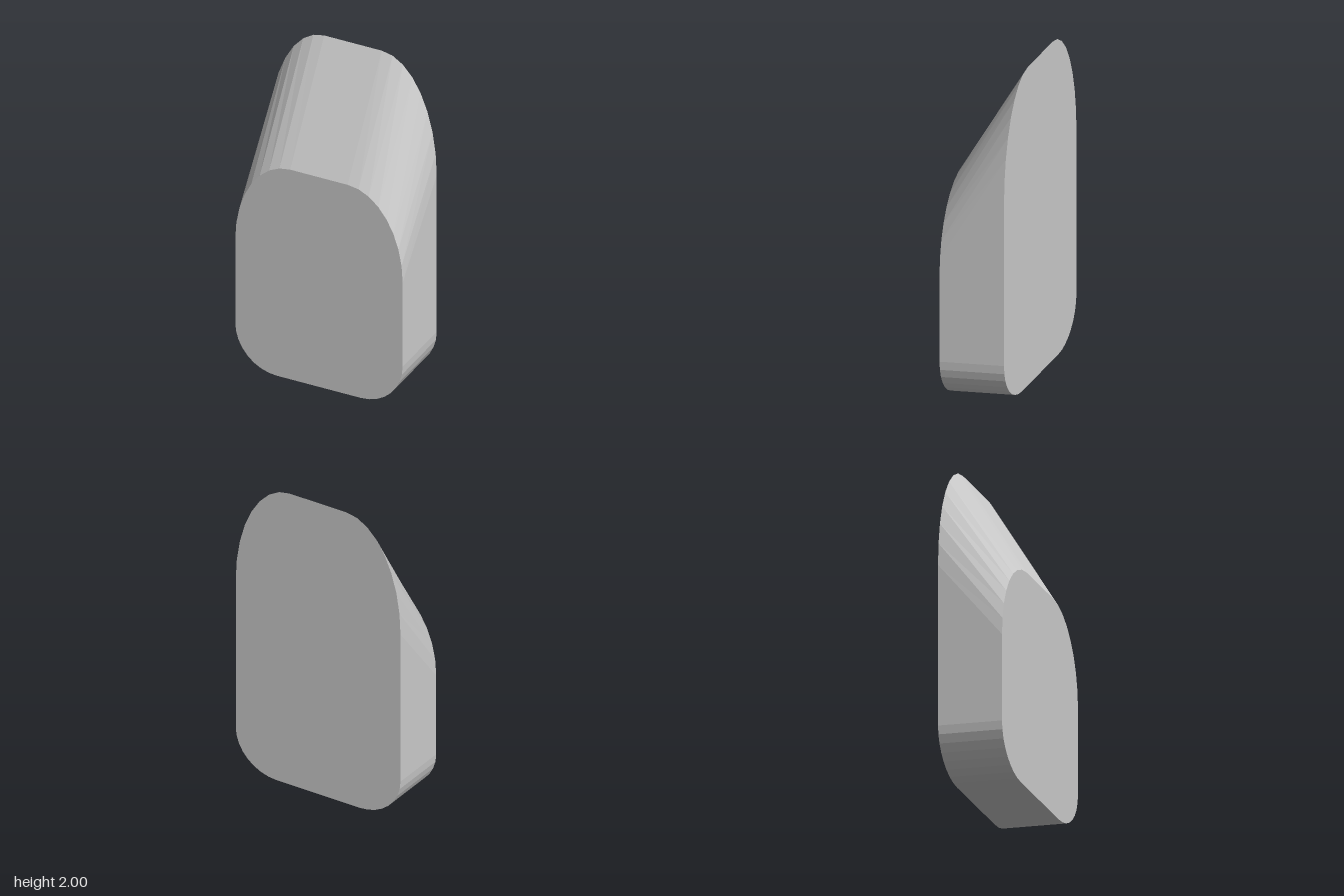
import * as THREE from 'three';

const HALF_W = 0.537, HALF_D = 0.195;
const FOOT_R = 0.268;                       // bottom corner radius
const FLAT = 0.185;                         // half width of the flat top
const FRONT = { shoulder: 0.8, top: 1.33 };
const BACK = { shoulder: 1.3, top: 2, lift: 0.04 };

// Front outline: round lower corners, tall elliptical shoulders
function frontOutline() {
  const s = new THREE.Shape();
  const x = HALF_W - FOOT_R, rx = HALF_W - FLAT, ry = FRONT.top - FRONT.shoulder;
  s.moveTo(-x, 0);
  s.lineTo(x, 0);
  s.absellipse(x, FOOT_R, FOOT_R, FOOT_R, -Math.PI / 2, 0, false, 0);
  s.lineTo(HALF_W, FRONT.shoulder);
  s.absellipse(FLAT, FRONT.shoulder, rx, ry, 0, Math.PI / 2, false, 0);
  s.lineTo(-FLAT, FRONT.top);
  s.absellipse(-FLAT, FRONT.shoulder, rx, ry, Math.PI / 2, Math.PI, false, 0);
  s.lineTo(-HALF_W, FOOT_R);
  s.absellipse(-x, FOOT_R, FOOT_R, FOOT_R, Math.PI, Math.PI * 1.5, false, 0);
  return s;
}

// Height on the back face that matches a height on the front face
function backHeight(y) {
  if (y < FRONT.shoulder - 1e-4) return y + BACK.lift;
  const stretch = (BACK.top - BACK.shoulder) / (FRONT.top - FRONT.shoulder);
  return BACK.shoulder + (y - FRONT.shoulder) * stretch;
}

export function createModel() {
  const group = new THREE.Group();
  group.name = 'slantedBlock';

  const geo = new THREE.ExtrudeGeometry(frontOutline(), {
    depth: 2 * HALF_D, bevelEnabled: false, curveSegments: 4,
  });
  geo.translate(0, 0, -HALF_D);

  // Raise the back face so the top slopes down to the front
  const p = geo.attributes.position;
  for (let i = 0; i < p.count; i++) {
    if (p.getZ(i) < 0) p.setY(i, backHeight(p.getY(i)));
  }
  geo.computeVertexNormals();

  const body = new THREE.Mesh(geo, new THREE.MeshStandardMaterial({ color: 0xcccccc, flatShading: true }));
  body.name = 'body';
  group.add(body);
  return group;
}
